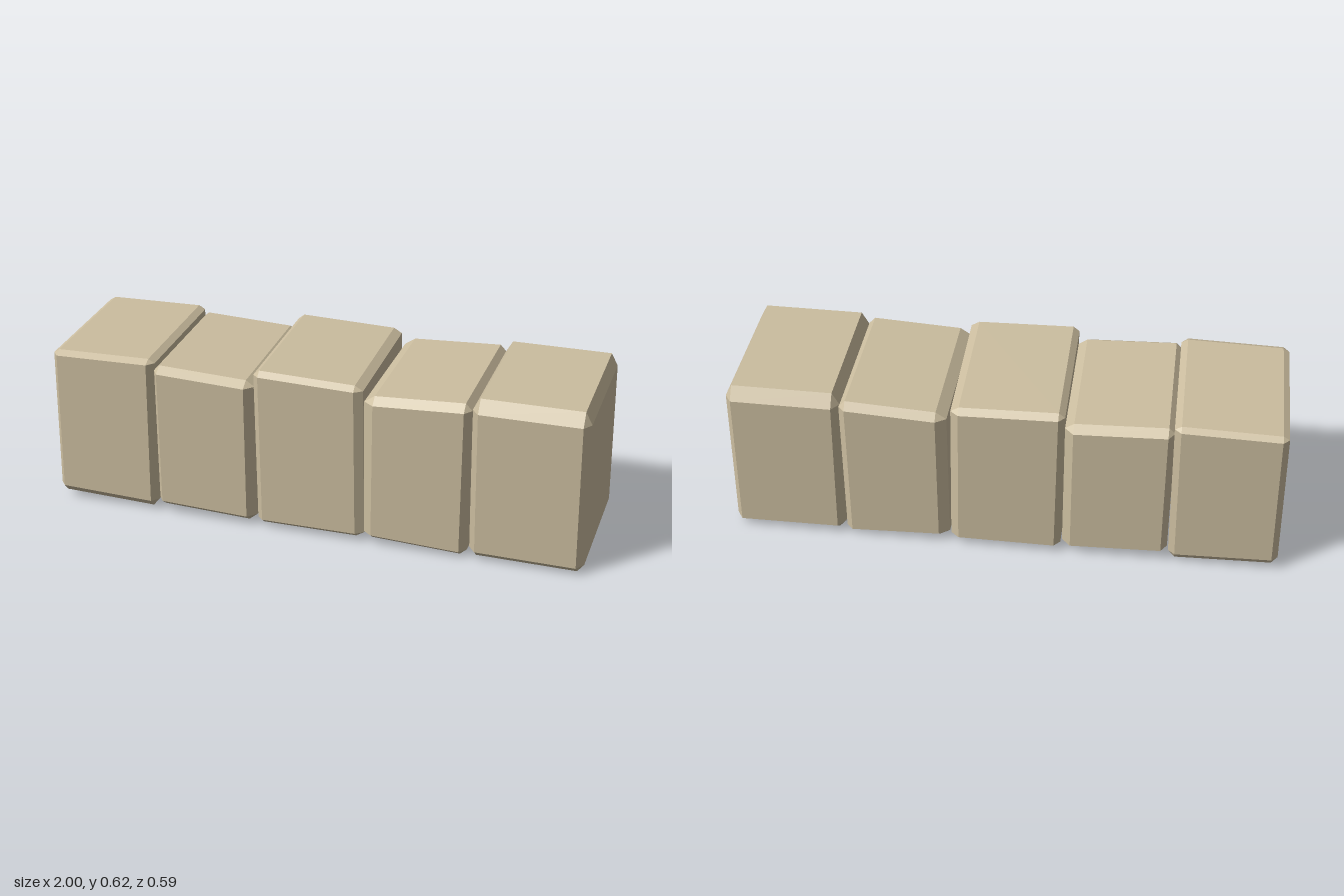
import * as THREE from 'three';
import { ConvexGeometry } from 'three/addons/geometries/ConvexGeometry.js';

// Each block: x = left/right faces, bottom/top = heights at those two ends,
// z = back/front, cut = bevel widths [-x, +x, bottom, top, back, front],
// lean = sideways shift of the top, skew = sideways shift of the front
const BLOCKS = [
  { x: [-0.995, -0.6], bottom: [0.025, 0.013], top: [0.603, 0.61], z: [-0.295, 0.283],
    cut: [0.022, 0.024, 0.03, 0.014, 0.022, 0.028], lean: 0.006, skew: 0.008 },
  { x: [-0.6, -0.216], bottom: [0.028, 0.015], top: [0.59, 0.576], z: [-0.296, 0.288],
    cut: [0.022, 0.032, 0.026, 0.022, 0.034, 0.034], lean: -0.002, skew: 0.006 },
  { x: [-0.214, 0.19], bottom: [0.018, 0.018], top: [0.624, 0.614], z: [-0.298, 0.284],
    cut: [0.022, 0.03, 0.018, 0.018, 0.026, 0.022], lean: -0.008, skew: 0.006 },
  { x: [0.194, 0.58], bottom: [0.02, 0.006], top: [0.582, 0.599], z: [-0.295, 0.288],
    cut: [0.038, 0.024, 0.022, 0.026, 0.026, 0.03], lean: 0.002, skew: -0.006 },
  { x: [0.582, 0.994], bottom: [0.008, 0.004], top: [0.622, 0.622], z: [-0.296, 0.288],
    cut: [0.026, 0.024, 0.03, 0.046, 0.036, 0.036], lean: -0.006, skew: -0.004 },
];

// Bevelled block: every corner gives one point to each of its three faces
function blockGeometry({ x, bottom, top, z, cut, lean, skew }) {
  const points = [];
  for (const i of [0, 1]) for (const j of [0, 1]) for (const k of [0, 1]) {
    const corner = [
      x[i] + lean * (j - 0.5) + skew * (k - 0.5),
      (j ? top : bottom)[i],
      z[k],
    ];
    const inset = [i ? -cut[1] : cut[0], j ? -cut[3] : cut[2], k ? -cut[5] : cut[4]];
    for (let face = 0; face < 3; face++) {
      points.push(new THREE.Vector3(
        ...corner.map((value, axis) => (axis === face ? value : value + inset[axis])),
      ));
    }
  }
  return new ConvexGeometry(points);
}

export function createModel() {
  const model = new THREE.Group();
  model.name = 'stoneBlockRow';
  const stone = new THREE.MeshStandardMaterial({ color: 0xcbbd9f });
  stone.name = 'sandstone';

  BLOCKS.forEach((block, n) => {
    const mesh = new THREE.Mesh(blockGeometry(block), stone);
    mesh.name = `stoneBlock${n + 1}`;
    model.add(mesh);
  });
  return model;
}
